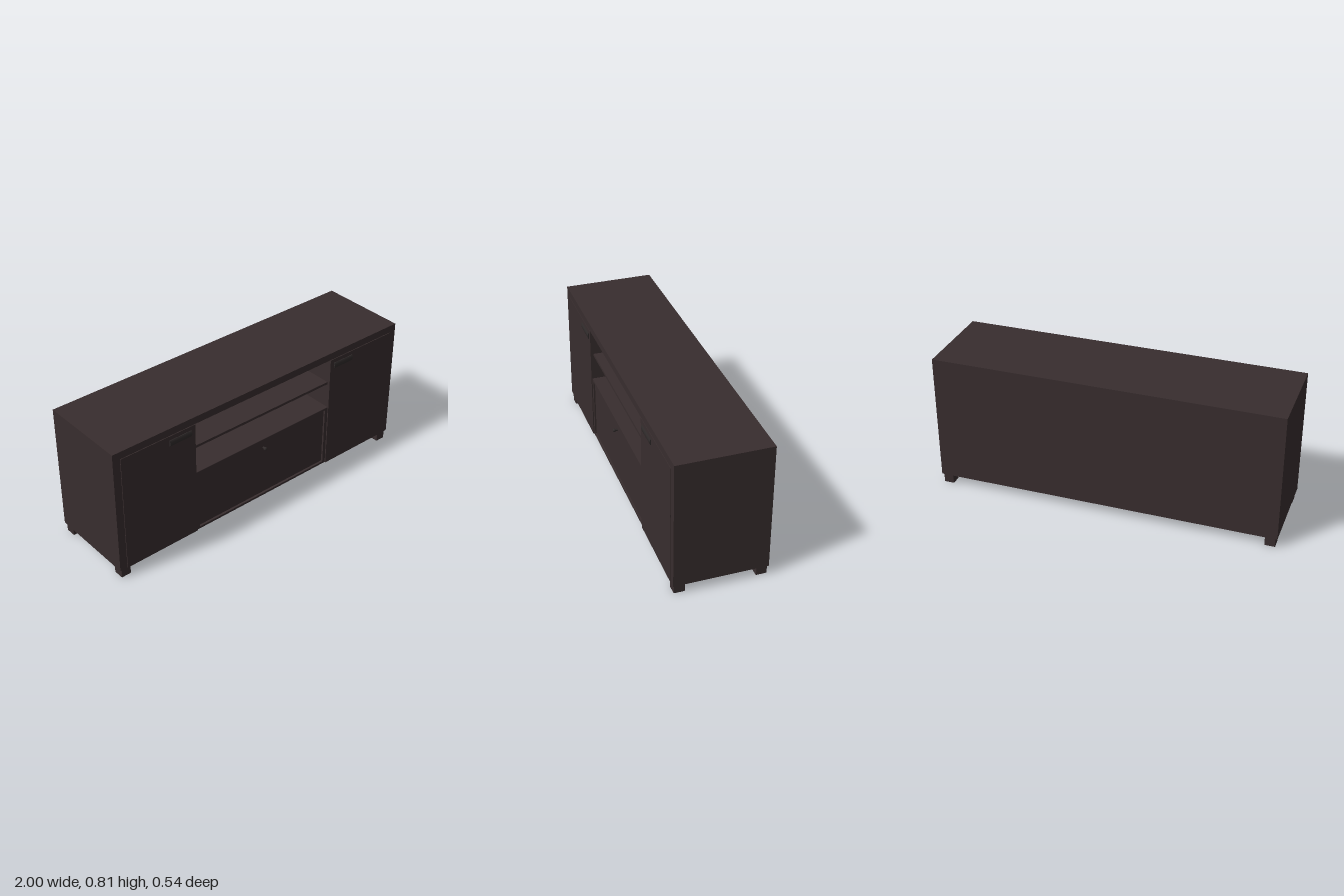
import * as THREE from 'three';
import { RoundedBoxGeometry } from 'three/addons/geometries/RoundedBoxGeometry.js';

export function createModel() {
  const model = new THREE.Group();
  model.name = 'sideboard';

  const wood = new THREE.MeshStandardMaterial({ color: 0x382d2e });
  wood.name = 'dark wood';
  const metal = new THREE.MeshStandardMaterial({ color: 0x302b2b });
  metal.name = 'dark metal';

  function add(name, geometry, material = wood) {
    const mesh = new THREE.Mesh(geometry, material);
    mesh.name = name;
    model.add(mesh);
    return mesh;
  }

  // Box given by its limits on each axis
  function board(name, x0, x1, y0, y1, z0, z1, material = wood) {
    const mesh = add(name, new THREE.BoxGeometry(x1 - x0, y1 - y0, z1 - z0), material);
    mesh.position.set((x0 + x1) / 2, (y0 + y1) / 2, (z0 + z1) / 2);
    return mesh;
  }

  const back = -0.27, front = 0.256;
  const bottom = 0.055, topUnder = 0.762, top = 0.805;

  // Carcass
  board('top', -1, 1, topUnder, top, back, front);
  board('backPanel', -0.955, 0.955, bottom, topUnder, back, back + 0.015);
  board('base', -0.955, 0.955, bottom, 0.068, back + 0.015, 0.252);

  // Open compartments
  board('upperShelf', -0.483, 0.483, 0.595, 0.61, back + 0.015, 0.24);
  board('lowerShelf', -0.483, 0.483, 0.43, 0.445, back + 0.015, 0.252);

  // Central flap, set slightly into its frame
  board('flap', -0.46, 0.46, 0.073, 0.427, 0.228, 0.244);

  // Curved pull: a bowed plate, extruded along x
  const profile = new THREE.Shape();
  profile.moveTo(0, -0.0175);
  profile.lineTo(0.005, -0.0175);
  profile.quadraticCurveTo(0.013, 0, 0.005, 0.0175);
  profile.lineTo(0, 0.0175);
  const pull = new THREE.ExtrudeGeometry(profile, { depth: 0.142, bevelEnabled: false, curveSegments: 8 });
  pull.translate(0, 0, -0.071);
  pull.rotateY(-Math.PI / 2);

  for (const s of [-1, 1]) {
    const label = s > 0 ? 'left' : 'right';
    const sided = (part, xIn, xOut, y0, y1, z0, z1) =>
      board(label + part, Math.min(s * xIn, s * xOut), Math.max(s * xIn, s * xOut), y0, y1, z0, z1);

    sided('SidePanel', 0.955, 1, bottom, topUnder, back, front);
    sided('Divider', 0.483, 0.503, 0.068, topUnder, back + 0.015, 0.242);
    sided('Door', 0.483, 0.953, bottom, 0.76, 0.242, 0.258);
    sided('FlapFrame', 0.463, 0.483, 0.068, 0.43, 0.21, 0.252);

    const handle = add(label + 'Handle', pull, metal);
    handle.position.set(s * 0.58, 0.718, 0.256);
    // The extrusion bows towards +z after turning
    if (handle.geometry === pull) handle.scale.set(1, 1, 1);

    // Feet with softened edges
    for (const [end, z] of [['Front', 0.219], ['Back', -0.234]]) {
      const foot = add(label + end + 'Foot', new RoundedBoxGeometry(0.06, 0.055, 0.062, 2, 0.003));
      foot.position.set(s * 0.96, 0.0275, z);
    }
  }

  // Turned knob on the flap
  const knobProfile = [[0.006, 0], [0.006, 0.012], [0.01, 0.017], [0.0105, 0.022], [0.008, 0.027], [0, 0.029]]
    .map(([r, h]) => new THREE.Vector2(r, h));
  const knob = add('flapKnob', new THREE.LatheGeometry(knobProfile, 20), metal);
  knob.rotation.x = Math.PI / 2;
  knob.position.set(0, 0.383, 0.243);

  return model;
}
